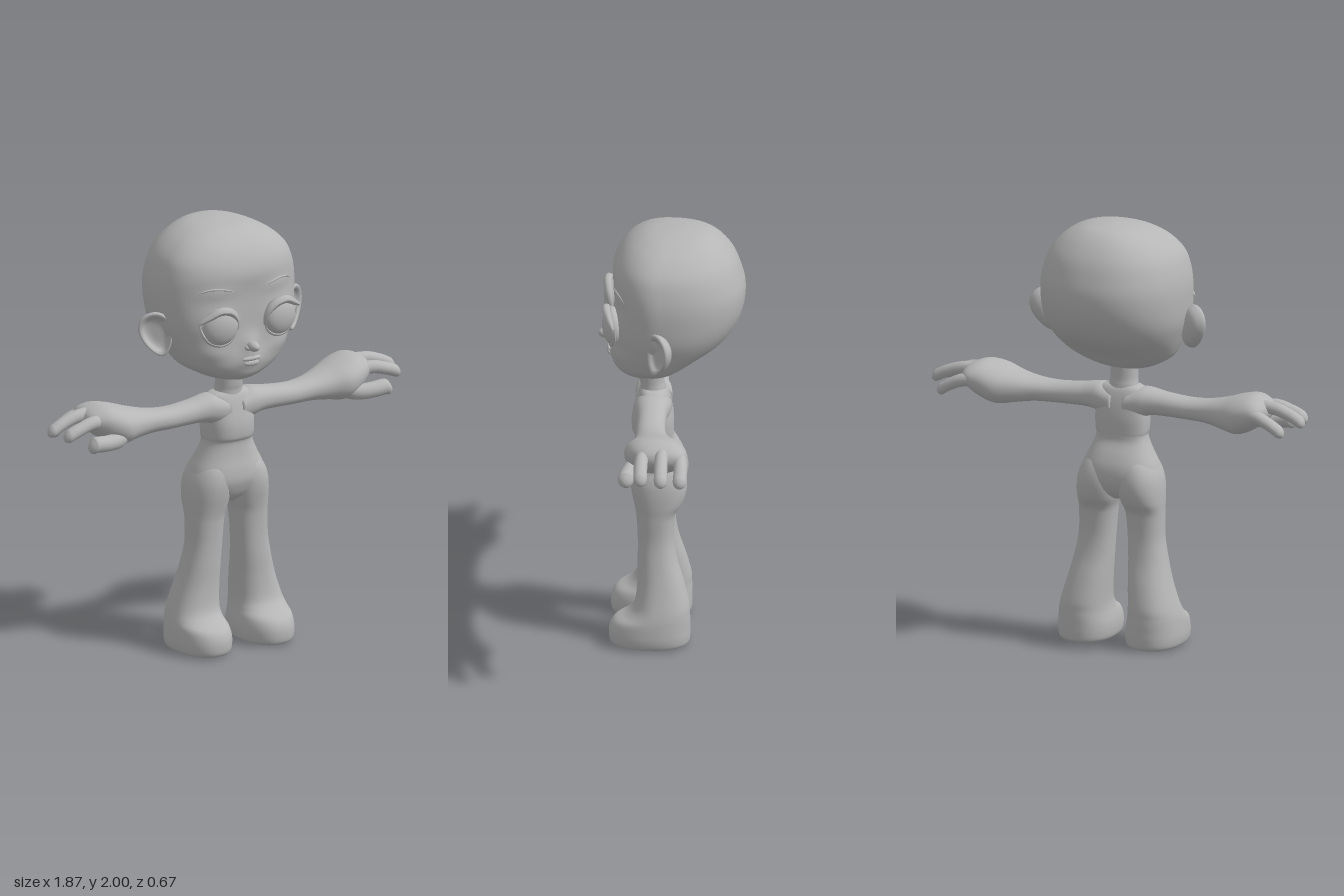
import * as THREE from 'three';

const skin = new THREE.MeshStandardMaterial({ color: 0xb6b6b6 });
skin.name = 'plainGrey';

const catmull = (a, b, c, d, t) =>
  0.5 * (2 * b + (c - a) * t + (2 * a - 5 * b + 4 * c - d) * t * t + (3 * b - a - 3 * c + d) * t * t * t);

// Smooth closed loft along y (rings in x,z) or along x (rings in z,y).
// Section: [along, centreU, centreV, radiusU, radiusV+, radiusV-]
function loft(sections, axis = 'y', power = 2.2, radial = 40, steps = 4) {
  const rows = [];
  const n = sections.length;
  for (let k = 0; k <= (n - 1) * steps; k++) {
    const i = Math.min(Math.floor(k / steps), n - 2);
    const t = k / steps - i;
    const s = (j) => sections[Math.max(0, Math.min(n - 1, j))];
    rows.push(s(i).map((_, c) => catmull(s(i - 1)[c], s(i)[c], s(i + 1)[c], s(i + 2)[c], t)));
  }
  const pos = [], index = [];
  const put = (t, u, v) => (axis === 'y' ? pos.push(u, t, v) : pos.push(t, v, u));
  const round = (x) => Math.sign(x) * Math.pow(Math.abs(x), 2 / power);
  for (const [t, u, v, ru, rf, rb] of rows) {
    for (let j = 0; j < radial; j++) {
      const a = (j / radial) * Math.PI * 2;
      const si = Math.sin(a);
      put(t, u + ru * round(Math.cos(a)), v + (si > 0 ? rf : rb) * round(si));
    }
  }
  const last = rows.length - 1;
  for (let i = 0; i < last; i++) {
    for (let j = 0; j < radial; j++) {
      const k = (j + 1) % radial;
      const a = i * radial + j, b = a + radial, c = i * radial + k, d = c + radial;
      index.push(a, b, c, b, d, c);
    }
  }
  // end caps
  const c0 = pos.length / 3;
  put(rows[0][0], rows[0][1], rows[0][2]);
  put(rows[last][0], rows[last][1], rows[last][2]);
  for (let j = 0; j < radial; j++) {
    const k = (j + 1) % radial;
    index.push(c0, j, k, c0 + 1, last * radial + k, last * radial + j);
  }
  const g = new THREE.BufferGeometry();
  g.setAttribute('position', new THREE.Float32BufferAttribute(pos, 3));
  g.setIndex(index);
  g.computeVertexNormals();
  return g;
}

function mirrored(geometry) {
  const g = geometry.clone().scale(-1, 1, 1);
  const ix = g.index.array;
  for (let i = 0; i < ix.length; i += 3) [ix[i], ix[i + 1]] = [ix[i + 1], ix[i]];
  g.computeVertexNormals();
  return g;
}

// Tube through points, thinning to nothing at both ends
function taperedTube(points, radius) {
  const curve = new THREE.CatmullRomCurve3(points.map((p) => new THREE.Vector3(...p)));
  const seg = 28, rad = 8;
  const g = new THREE.TubeGeometry(curve, seg, radius, rad);
  const p = g.attributes.position, v = new THREE.Vector3();
  for (let i = 0; i < p.count; i++) {
    const u = Math.floor(i / (rad + 1)) / seg;
    const c = curve.getPointAt(u);
    v.fromBufferAttribute(p, i).sub(c).multiplyScalar(Math.sqrt(Math.max(0.0004, Math.sin(Math.PI * u)))).add(c);
    p.setXYZ(i, v.x, v.y, v.z);
  }
  g.computeVertexNormals();
  return g;
}

// Finger through [x, z, y] points with a rounded tip
function finger(points, r) {
  const [ex, ez, ey] = points[points.length - 1];
  const body = points.slice(0, -1).map(([x, z, y]) => [x, z, y, r, r, r]);
  const tip = [[1, 1], [0.5, 0.87], [0.13, 0.5], [0, 0.08]].map(([back, k]) =>
    [ex - back * r, ez, ey + back * r * 0.4, r * k, r * k, r * k]);
  return loft([...body, ...tip], 'x', 2, 18);
}

function ellipsoid(x, y, z, rx, ry, rz, turn = 0) {
  return new THREE.SphereGeometry(1, 36, 24).scale(rx, ry, rz).rotateY(turn).translate(x, y, z);
}

export function createModel() {
  const model = new THREE.Group();
  model.name = 'figure';
  const add = (name, g) => {
    const m = new THREE.Mesh(g, skin);
    m.name = name;
    model.add(m);
    return m;
  };
  const pair = (name, g) => {
    add(name + 'Left', g);
    add(name + 'Right', mirrored(g));
  };

  // Head, with eye mounds, cheeks, brow, nose bridge, mouth and chin shaped in
  const headGeo = loft([
    [1.283, 0, 0.12, 0.05, 0.07, 0.05], [1.30, 0, 0.10, 0.125, 0.12, 0.08],
    [1.33, 0, 0.08, 0.19, 0.17, 0.11], [1.37, 0, 0.06, 0.25, 0.205, 0.14],
    [1.42, 0, 0.05, 0.284, 0.215, 0.205], [1.48, 0, 0.05, 0.312, 0.21, 0.29],
    [1.55, 0, 0.05, 0.336, 0.205, 0.345], [1.63, 0, 0.05, 0.345, 0.205, 0.378],
    [1.72, 0, 0.05, 0.345, 0.208, 0.386], [1.80, 0, 0.05, 0.33, 0.216, 0.367],
    [1.87, 0, 0.05, 0.3, 0.195, 0.338], [1.93, 0, 0.035, 0.24, 0.165, 0.278],
    [1.97, 0, 0.01, 0.168, 0.13, 0.205], [1.99, 0, -0.02, 0.10, 0.095, 0.125],
    [2.0, 0, -0.04, 0.02, 0.025, 0.025]], 'y', 2.25, 80, 5);
  const bumps = [ // x, y, width, height, amount
    [0.18, 1.58, 0.11, 0.1, 0.024], [-0.18, 1.58, 0.11, 0.1, 0.024],
    [0.19, 1.44, 0.08, 0.05, 0.015], [-0.19, 1.44, 0.08, 0.05, 0.015],
    [0.16, 1.73, 0.09, 0.03, 0.008], [-0.16, 1.73, 0.09, 0.03, 0.008],
    [0, 1.47, 0.035, 0.05, 0.025], [0, 1.40, 0.07, 0.045, 0.017], [0, 1.32, 0.06, 0.03, 0.012]];
  const hp = headGeo.attributes.position;
  for (let i = 0; i < hp.count; i++) {
    const x = hp.getX(i), y = hp.getY(i), z = hp.getZ(i);
    if (z < 0.12) continue;
    let dz = 0;
    for (const [bx, by, w, h, amt] of bumps) dz += amt * Math.exp(-(((x - bx) / w) ** 2) - ((y - by) / h) ** 2);
    hp.setZ(i, z + dz * Math.min(1, (z - 0.12) / 0.06));
  }
  headGeo.computeVertexNormals();
  const head = add('head', headGeo);
  const ray = new THREE.Raycaster();
  const faceZ = (x, y) => {
    ray.set(new THREE.Vector3(x, y, 2), new THREE.Vector3(0, 0, -1));
    return ray.intersectObject(head)[0].point.z;
  };

  // Eyes with upper and lower lids, and brows
  pair('eye', ellipsoid(0.16, 1.582, 0.266, 0.086, 0.088, 0.044, 0.15));
  pair('upperLid', taperedTube([[0.072, 1.55, 0.272], [0.088, 1.615, 0.285], [0.125, 1.652, 0.292],
    [0.175, 1.662, 0.292], [0.225, 1.638, 0.278], [0.275, 1.608, 0.258]], 0.02));
  pair('lowerLid', taperedTube([[0.075, 1.57, 0.27], [0.095, 1.52, 0.272], [0.15, 1.493, 0.27],
    [0.21, 1.51, 0.26], [0.25, 1.56, 0.252], [0.265, 1.605, 0.252]], 0.01));
  pair('brow', taperedTube([[0.08, 1.735], [0.13, 1.748], [0.175, 1.754], [0.22, 1.748], [0.255, 1.733]]
    .map(([x, y]) => [x, y, faceZ(x, y)]), 0.005));

  // Nose and lips
  add('noseTip', ellipsoid(0, 1.468, 0.29, 0.026, 0.024, 0.043));
  pair('nostril', ellipsoid(0.02, 1.46, 0.28, 0.015, 0.013, 0.018));
  const lipZ = faceZ(0, 1.4);
  add('upperLip', ellipsoid(0, 1.408, lipZ - 0.006, 0.05, 0.012, 0.013));
  add('lowerLip', ellipsoid(0, 1.386, lipZ - 0.007, 0.04, 0.015, 0.014));

  // Ears: a thick dished bowl with a rolled rim, narrower toward the lobe
  const earProfile = [[0.001, -0.62], [0.45, -0.58], [0.78, -0.4], [0.95, -0.12], [1, 0.08], [0.96, 0.19],
    [0.88, 0.2], [0.78, 0.12], [0.66, -0.06], [0.4, -0.16], [0.001, -0.17]].map((p) => new THREE.Vector2(...p));
  const ear = new THREE.LatheGeometry(new THREE.SplineCurve(earProfile).getPoints(36), 40);
  ear.rotateX(Math.PI / 2).scale(0.074, 0.107, 0.08);
  const ep = ear.attributes.position;
  for (let i = 0; i < ep.count; i++) ep.setX(i, ep.getX(i) * (1 + 2.8 * ep.getY(i)));
  ear.rotateZ(-0.3).rotateY(0.6).translate(0.364, 1.525, 0.052);
  ear.computeVertexNormals();
  pair('ear', ear);

  // Neck and torso
  add('neck', loft([[1.17, 0, 0.08, 0.075, 0.062, 0.06], [1.215, 0, 0.082, 0.067, 0.058, 0.054],
    [1.25, 0, 0.088, 0.063, 0.058, 0.055], [1.36, 0, 0.095, 0.065, 0.06, 0.06]]));
  add('torso', loft([
    [0.685, 0, 0.06, 0.03, 0.06, 0.06], [0.72, 0, 0.06, 0.10, 0.098, 0.10],
    [0.76, 0, 0.06, 0.165, 0.117, 0.122], [0.80, 0, 0.06, 0.187, 0.127, 0.13],
    [0.85, 0, 0.06, 0.174, 0.123, 0.124], [0.90, 0, 0.06, 0.149, 0.112, 0.103],
    [0.95, 0, 0.06, 0.126, 0.106, 0.075], [0.98, 0, 0.06, 0.118, 0.107, 0.07],
    [1.0, 0, 0.06, 0.122, 0.119, 0.07], [1.06, 0, 0.06, 0.125, 0.12, 0.07],
    [1.12, 0, 0.065, 0.122, 0.102, 0.067], [1.17, 0, 0.075, 0.118, 0.077, 0.064],
    [1.2, 0, 0.08, 0.10, 0.058, 0.054], [1.216, 0, 0.082, 0.05, 0.04, 0.035]], 'y', 2.5, 56));

  // Legs flaring into rounded shoes
  pair('leg', loft([
    [0.002, 0.168, 0.08, 0.10, 0.165, 0.14], [0.015, 0.168, 0.08, 0.125, 0.193, 0.165],
    [0.05, 0.168, 0.08, 0.133, 0.2, 0.17], [0.09, 0.168, 0.08, 0.132, 0.195, 0.17],
    [0.125, 0.17, 0.08, 0.127, 0.173, 0.17], [0.155, 0.171, 0.07, 0.121, 0.13, 0.158],
    [0.20, 0.167, 0.06, 0.113, 0.104, 0.145], [0.30, 0.15, 0.055, 0.10, 0.095, 0.115],
    [0.40, 0.135, 0.06, 0.09, 0.09, 0.09], [0.50, 0.123, 0.065, 0.084, 0.085, 0.08],
    [0.60, 0.118, 0.065, 0.087, 0.09, 0.083], [0.64, 0.115, 0.06, 0.09, 0.1, 0.088],
    [0.68, 0.109, 0.06, 0.097, 0.108, 0.115], [0.74, 0.102, 0.06, 0.102, 0.12, 0.132],
    [0.80, 0.094, 0.06, 0.10, 0.123, 0.13], [0.86, 0.085, 0.06, 0.08, 0.108, 0.108],
    [0.92, 0.07, 0.06, 0.045, 0.06, 0.06]], 'y', 2.25, 44));

  // Arms swelling into broad hands
  pair('arm', loft([
    [0.03, 0.08, 1.13, 0.085, 0.055, 0.08], [0.10, 0.083, 1.14, 0.082, 0.064, 0.075],
    [0.15, 0.085, 1.14, 0.073, 0.06, 0.061],
    [0.21, 0.085, 1.135, 0.067, 0.055, 0.053], [0.33, 0.085, 1.13, 0.067, 0.05, 0.05],
    [0.43, 0.077, 1.135, 0.077, 0.053, 0.057], [0.52, 0.066, 1.14, 0.105, 0.069, 0.074],
    [0.6, 0.06, 1.15, 0.138, 0.085, 0.095], [0.67, 0.047, 1.17, 0.134, 0.079, 0.088],
    [0.72, 0.032, 1.18, 0.115, 0.058, 0.058], [0.75, 0.03, 1.182, 0.085, 0.036, 0.036],
    [0.762, 0.03, 1.182, 0.03, 0.012, 0.012]], 'x', 2.2, 40));
  pair('littleFinger', finger([[0.64, -0.045, 1.185], [0.74, -0.06, 1.17], [0.80, -0.062, 1.145], [0.868, -0.06, 1.11]], 0.031));
  pair('middleFinger', finger([[0.66, 0.02, 1.205], [0.78, 0.025, 1.2], [0.86, 0.025, 1.176], [0.933, 0.025, 1.143]], 0.03));
  pair('indexFinger', finger([[0.65, 0.10, 1.175], [0.75, 0.115, 1.187], [0.83, 0.118, 1.167], [0.905, 0.117, 1.138]], 0.031));
  pair('thumb', finger([[0.55, 0.11, 1.125], [0.63, 0.155, 1.1], [0.71, 0.177, 1.1], [0.815, 0.185, 1.092]], 0.037));
  return model;
}
